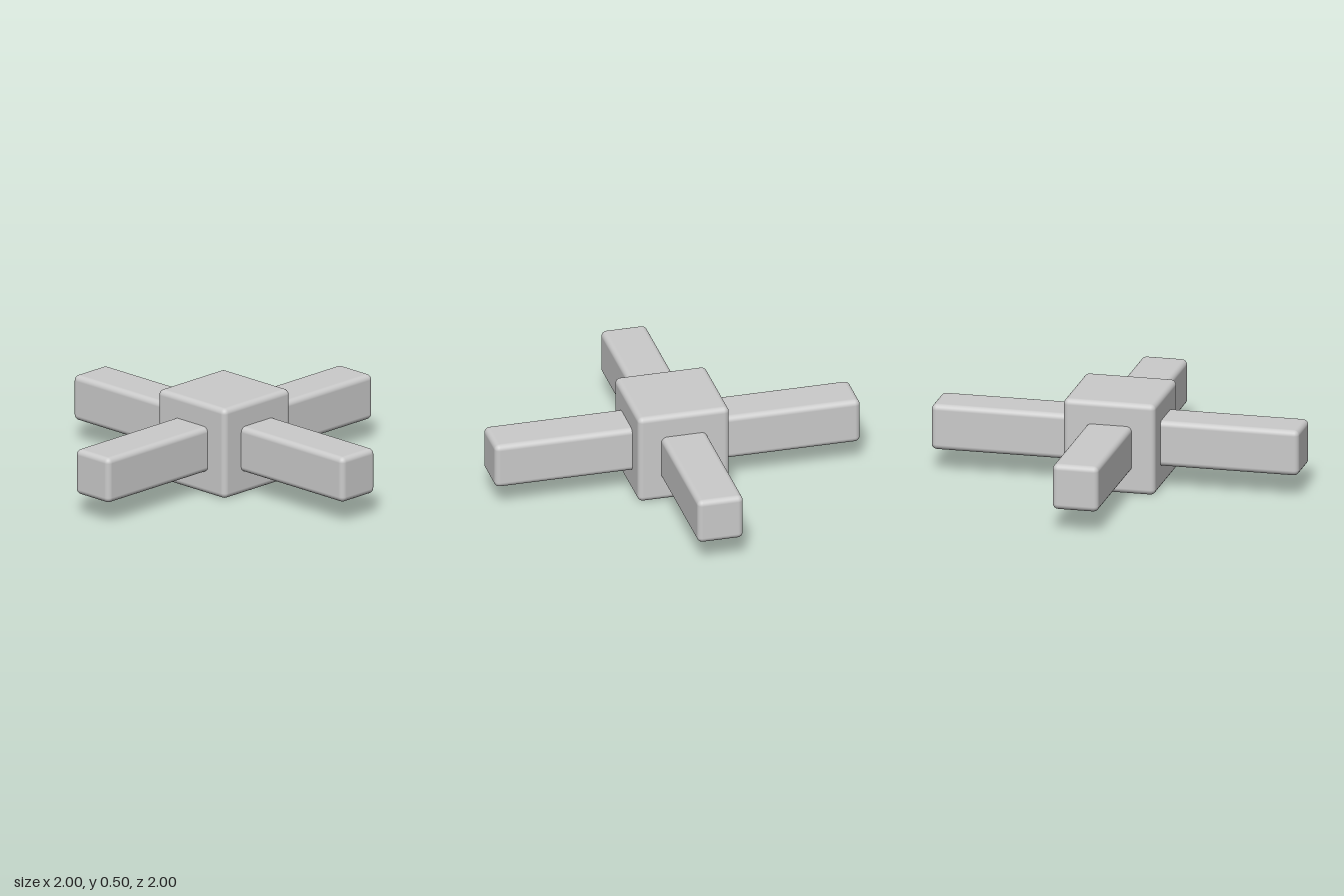
import * as THREE from 'three';
import { RoundedBoxGeometry } from 'three/addons/geometries/RoundedBoxGeometry.js';

const HUB = 0.5, BAR = 0.25, LENGTH = 2, RADIUS = 0.03;

export function createModel() {
  const group = new THREE.Group();
  group.name = 'crossConnector';
  const material = new THREE.MeshStandardMaterial({ color: 0xcccccc });

  // Softly rounded block centred on the hub's axis
  const addBlock = (name, width, height, depth) => {
    const mesh = new THREE.Mesh(new RoundedBoxGeometry(width, height, depth, 3, RADIUS), material);
    mesh.name = name;
    mesh.position.y = HUB / 2;
    group.add(mesh);
  };

  // Central cube
  addBlock('hub', HUB, HUB, HUB);

  // Two square bars crossing through the hub
  addBlock('sideBar', LENGTH, BAR, BAR);
  addBlock('frontBackBar', BAR, BAR, LENGTH);

  return group;
}
